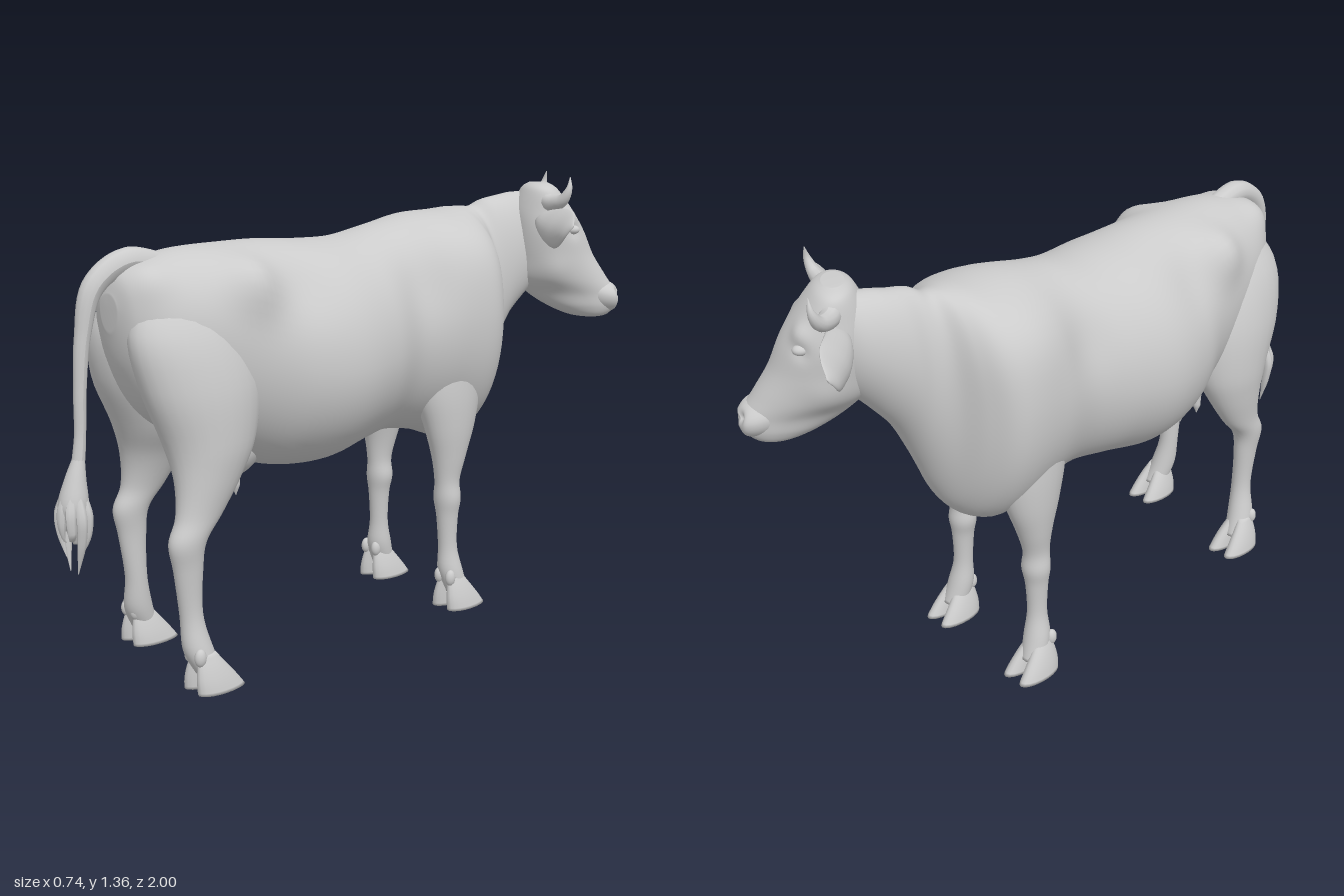
import * as THREE from 'three';

const MID = -0.055; // body centre line in x
const material = new THREE.MeshStandardMaterial({ color: 0xcccccc, side: THREE.DoubleSide });

function add(parent, name, geometry) {
  const mesh = new THREE.Mesh(geometry, material);
  mesh.name = name;
  parent.add(mesh);
  return mesh;
}

// Uniform Catmull-Rom through rows of numbers
function smoothRows(rows, sub) {
  const out = [];
  const at = i => rows[Math.min(rows.length - 1, Math.max(0, i))];
  for (let i = 0; i < rows.length - 1; i++) {
    for (let k = 0; k < sub; k++) {
      const t = k / sub, t2 = t * t, t3 = t2 * t;
      out.push(rows[i].map((_, c) => {
        const a = at(i - 1)[c], b = at(i)[c], d = at(i + 1)[c], e = at(i + 2)[c];
        return 0.5 * (2 * b + (d - a) * t + (2 * a - 5 * b + 4 * d - e) * t2 + (3 * b - a - 3 * d + e) * t3);
      }));
    }
  }
  out.push(rows[rows.length - 1]);
  return out;
}

// Skin over egg-shaped rings [x, y, z, halfWidth, up, down] stacked along an axis
const FRAMES = {
  z: [new THREE.Vector3(1, 0, 0), new THREE.Vector3(0, 1, 0)],
  y: [new THREE.Vector3(1, 0, 0), new THREE.Vector3(0, 0, 1)],
  x: [new THREE.Vector3(0, 0, 1), new THREE.Vector3(0, 1, 0)],
};
function loft(rows, axis, seg = 32, sub = 5) {
  const rings = smoothRows(rows, sub), [U, V] = FRAMES[axis];
  const pos = [], index = [], n = rings.length;
  const centre = r => new THREE.Vector3(r[0], r[1], r[2]);
  for (const r of rings) {
    for (let j = 0; j < seg; j++) {
      const t = j / seg * Math.PI * 2, s = Math.sin(t);
      const p = centre(r).addScaledVector(U, r[3] * Math.cos(t)).addScaledVector(V, s * (s > 0 ? r[4] : r[5]));
      pos.push(p.x, p.y, p.z);
    }
  }
  const first = centre(rings[0]), last = centre(rings[n - 1]);
  pos.push(...first.toArray(), ...last.toArray());
  const flip = new THREE.Vector3().crossVectors(U, V).dot(last.clone().sub(first)) < 0;
  const tri = (a, b, c) => flip ? index.push(a, c, b) : index.push(a, b, c);
  for (let j = 0; j < seg; j++) {
    const k = (j + 1) % seg, e = (n - 1) * seg;
    for (let i = 0; i < n - 1; i++) {
      const o = i * seg;
      tri(o + j, o + k, o + seg + j);
      tri(o + k, o + seg + k, o + seg + j);
    }
    tri(n * seg, k, j);
    tri(n * seg + 1, e + j, e + k);
  }
  const g = new THREE.BufferGeometry();
  g.setAttribute('position', new THREE.Float32BufferAttribute(pos, 3));
  g.setIndex(index);
  g.computeVertexNormals();
  return g;
}

// Soft swellings and hollows [dx, y, z, radius, height], mirrored about a centre line
function sculpt(g, mid, bumps) {
  const p = g.attributes.position, nor = g.attributes.normal;
  for (let i = 0; i < p.count; i++) {
    const x = p.getX(i), y = p.getY(i), z = p.getZ(i);
    let d = 0;
    for (const [bx, by, bz, r, h] of bumps) {
      d += h * Math.exp(-((Math.abs(x - mid) - bx) ** 2 + (y - by) ** 2 + (z - bz) ** 2) / (r * r));
    }
    p.setXYZ(i, x + nor.getX(i) * d, y + nor.getY(i) * d, z + nor.getZ(i) * d);
  }
  g.computeVertexNormals();
  return g;
}

// Round tube whose radius follows a list of values
function taper(points, radii, segments = 24, sides = 12) {
  const curve = new THREE.CatmullRomCurve3(points.map(p => new THREE.Vector3(...p)));
  const g = new THREE.TubeGeometry(curve, segments, 1, sides);
  const pos = g.attributes.position, v = new THREE.Vector3();
  for (let i = 0; i <= segments; i++) {
    const c = curve.getPointAt(i / segments), f = i / segments * (radii.length - 1);
    const k = Math.min(radii.length - 2, Math.floor(f));
    const r = THREE.MathUtils.lerp(radii[k], radii[k + 1], f - k);
    for (let j = 0; j <= sides; j++) {
      const id = i * (sides + 1) + j;
      v.fromBufferAttribute(pos, id).sub(c).multiplyScalar(r).add(c);
      pos.setXYZ(id, v.x, v.y, v.z);
    }
  }
  g.computeVertexNormals();
  return g;
}

function blob(parent, name, [x, y, z], [rx, ry, rz]) {
  const m = add(parent, name, new THREE.SphereGeometry(1, 24, 16));
  m.position.set(x, y, z);
  m.scale.set(rx, ry, rz);
}

// Cloven hoof with two claws and two dewclaws
function hoof(parent, x, z) {
  for (const s of [-1, 1]) {
    add(parent, 'hoofClaw', loft([
      [x + s * 0.033, 0, z - 0.01, 0.033, 0.07, 0.085],
      [x + s * 0.03, 0.035, z - 0.003, 0.029, 0.064, 0.066],
      [x + s * 0.024, 0.075, z + 0.005, 0.022, 0.05, 0.042],
      [x + s * 0.016, 0.11, z + 0.015, 0.014, 0.03, 0.025]], 'y', 20, 3));
    blob(parent, 'dewclaw', [x + s * 0.024, 0.105, z + 0.046], [0.015, 0.026, 0.018]);
  }
}

// Rings of the legs on the left; z shifts towards the foot to vary the stance
const HIND = [
  [-0.01, 1.14, 0.62, 0.06, 0.1, 0.08], [0.035, 1.0, 0.62, 0.11, 0.185, 0.15],
  [0.065, 0.85, 0.6, 0.125, 0.19, 0.175], [0.09, 0.7, 0.6, 0.108, 0.14, 0.145],
  [0.115, 0.6, 0.625, 0.075, 0.1, 0.11], [0.128, 0.5, 0.665, 0.05, 0.07, 0.075],
  [0.133, 0.43, 0.705, 0.043, 0.06, 0.055], [0.132, 0.35, 0.705, 0.034, 0.047, 0.042],
  [0.13, 0.22, 0.7, 0.031, 0.034, 0.034], [0.142, 0.12, 0.69, 0.04, 0.042, 0.045],
  [0.154, 0.05, 0.665, 0.04, 0.036, 0.045]];
const FORE = [
  [0.06, 1.0, -0.33, 0.06, 0.08, 0.08], [0.08, 0.86, -0.33, 0.095, 0.12, 0.12],
  [0.1, 0.72, -0.32, 0.09, 0.125, 0.12], [0.12, 0.6, -0.315, 0.068, 0.095, 0.09],
  [0.127, 0.5, -0.31, 0.05, 0.065, 0.055], [0.128, 0.42, -0.3, 0.038, 0.043, 0.042],
  [0.128, 0.36, -0.3, 0.044, 0.042, 0.045], [0.13, 0.3, -0.3, 0.034, 0.035, 0.036],
  [0.132, 0.2, -0.302, 0.03, 0.031, 0.031], [0.138, 0.12, -0.31, 0.04, 0.042, 0.04],
  [0.145, 0.05, -0.328, 0.04, 0.036, 0.042]];
function leg(parent, name, rows, side, mid, shift, hoofZ) {
  const group = new THREE.Group();
  group.name = name;
  const mirror = x => side > 0 ? x : 2 * mid - x;
  add(group, name + 'Limb', loft(rows.map(([x, y, z, ...r]) =>
    [mirror(x), y, z + shift * (1 - THREE.MathUtils.smoothstep(y, 0.45, 0.9)), ...r]), 'y', 28));
  hoof(group, mirror(rows[rows.length - 1][0]), hoofZ + shift);
  parent.add(group);
}

function buildHead() {
  const head = new THREE.Group();
  head.name = 'head';
  const skull = loft([
    [0, 1.335, -0.03, 0.05, 0.03, 0.03], [0, 1.315, -0.025, 0.096, 0.055, 0.06],
    [0, 1.25, -0.01, 0.115, 0.09, 0.105], [0, 1.18, 0.0, 0.126, 0.122, 0.12],
    [0, 1.1, 0.01, 0.118, 0.148, 0.128], [0, 1.03, 0.04, 0.104, 0.163, 0.15],
    [0, 0.975, 0.11, 0.08, 0.128, 0.17], [0, 0.93, 0.14, 0.07, 0.1, 0.13],
    [0, 0.9, 0.155, 0.052, 0.062, 0.075], [0, 0.89, 0.16, 0.02, 0.02, 0.02]], 'y', 56, 8);
  // brows, eye sockets, cheeks
  add(head, 'skull', sculpt(skull, 0, [
    [0.085, 1.225, 0.06, 0.03, 0.012], [0.11, 1.185, 0.07, 0.022, -0.008], [0.1, 1.06, 0.01, 0.05, 0.008]]));
  // broad nose pad with nostril hollows
  add(head, 'muzzle', sculpt(loft([
    [0, 0.99, 0.08, 0.03, 0.03, 0.04], [0, 0.98, 0.14, 0.066, 0.052, 0.06], [0, 0.967, 0.19, 0.074, 0.05, 0.06],
    [0, 0.96, 0.23, 0.064, 0.04, 0.05], [0, 0.96, 0.247, 0.03, 0.02, 0.025]], 'z', 40, 7), 0, [
    [0.038, 0.975, 0.24, 0.016, -0.014]]));
  for (const s of [-1, 1]) {
    add(head, 'horn', taper([[s * 0.05, 1.29, -0.03], [s * 0.11, 1.275, -0.01], [s * 0.155, 1.29, 0.015],
      [s * 0.17, 1.325, 0.03], [s * 0.16, 1.362, 0.035]], [0.034, 0.029, 0.023, 0.013, 0.001]));
    const ear = loft([
      [s * 0.08, 1.23, -0.04, 0.022, 0.02, 0.022], [s * 0.13, 1.225, -0.04, 0.026, 0.032, 0.036],
      [s * 0.2, 1.212, -0.035, 0.018, 0.054, 0.065], [s * 0.25, 1.21, -0.025, 0.013, 0.056, 0.062],
      [s * 0.305, 1.215, -0.012, 0.009, 0.038, 0.04], [s * 0.335, 1.22, 0, 0.003, 0.006, 0.006]], 'x', 24);
    // lean the ear forwards and cup it at its rims
    const p = ear.attributes.position;
    for (let i = 0; i < p.count; i++) {
      const dy = p.getY(i) - 1.215;
      p.setZ(i, p.getZ(i) + 0.45 * dy + 7 * dy * dy);
    }
    ear.computeVertexNormals();
    add(head, 'ear', ear);
    blob(head, 'eye', [s * 0.094, 1.188, 0.066], [0.018, 0.015, 0.022]);
  }
  // turned towards the animal's own side
  head.position.set(0.095, 0, -0.78);
  head.rotation.y = 2.52;
  return head;
}

export function createModel() {
  const cow = new THREE.Group();
  cow.name = 'cow';

  // trunk and neck in one skin, rump to poll
  const body = loft([
    [MID, 1.06, 0.815, 0.04, 0.04, 0.06], [MID, 1.03, 0.79, 0.1, 0.125, 0.14],
    [MID, 1.0, 0.72, 0.158, 0.185, 0.24], [MID, 0.97, 0.6, 0.202, 0.24, 0.3],
    [MID, 0.91, 0.43, 0.238, 0.305, 0.32], [MID, 0.86, 0.3, 0.285, 0.355, 0.315],
    [MID, 0.85, 0.15, 0.31, 0.355, 0.315], [MID, 0.87, 0, 0.285, 0.335, 0.305],
    [MID, 0.9, -0.14, 0.243, 0.33, 0.32], [MID + 0.005, 0.92, -0.28, 0.265, 0.335, 0.36],
    [MID + 0.01, 0.92, -0.4, 0.272, 0.34, 0.4], [MID + 0.01, 0.92, -0.465, 0.248, 0.345, 0.38],
    [-0.04, 0.93, -0.51, 0.19, 0.335, 0.345], [-0.025, 0.965, -0.545, 0.13, 0.3, 0.31],
    [-0.01, 1.02, -0.585, 0.11, 0.265, 0.265], [0, 1.08, -0.64, 0.107, 0.215, 0.21],
    [0.02, 1.12, -0.7, 0.105, 0.185, 0.17], [0.05, 1.16, -0.77, 0.095, 0.14, 0.13],
    [0.08, 1.18, -0.82, 0.06, 0.08, 0.08]], 'z', 64, 7);
  // hip bones, pin bones, flank hollows, shoulder blades, hollows behind them
  add(cow, 'bodyAndNeck', sculpt(body, MID, [
    [0.18, 1.12, 0.46, 0.085, 0.05], [0.09, 1.14, 0.74, 0.06, 0.02], [0.19, 1.08, 0.3, 0.1, -0.02],
    [0.17, 1.12, -0.37, 0.12, 0.025], [0.21, 1.05, -0.17, 0.1, -0.012]]));

  leg(cow, 'leftHindLeg', HIND, 1, MID, 0, 0.66);
  leg(cow, 'rightHindLeg', HIND, -1, MID - 0.003, -0.065, 0.66);
  leg(cow, 'leftForeLeg', FORE, 1, -0.045, 0, -0.325);
  leg(cow, 'rightForeLeg', FORE, -1, -0.045, -0.025, -0.325);

  // udder with four teats
  blob(cow, 'udder', [MID, 0.63, 0.46], [0.115, 0.105, 0.13]);
  for (const sx of [-1, 1]) for (const sz of [-1, 1]) {
    const x = MID + sx * 0.055, z = 0.49 + sz * 0.042;
    add(cow, 'teat', taper([[x, 0.57, z], [x + sx * 0.006, 0.525, z], [x + sx * 0.008, 0.487, z]],
      [0.024, 0.016, 0.013, 0.001], 12));
  }

  // tail, tuft and hair strands
  add(cow, 'tail', taper([[MID, 1.16, 0.62], [MID, 1.185, 0.76], [MID, 1.125, 0.86], [MID, 1.0, 0.897],
    [MID, 0.85, 0.912], [MID, 0.72, 0.918], [MID, 0.6, 0.935]], [0.035, 0.037, 0.031, 0.022, 0.018, 0.016, 0.02], 48));
  add(cow, 'tailTuft', loft([
    [MID, 0.68, 0.922, 0.014, 0.014, 0.014], [MID, 0.61, 0.938, 0.03, 0.03, 0.03],
    [MID, 0.54, 0.947, 0.042, 0.042, 0.042], [MID, 0.48, 0.945, 0.028, 0.028, 0.028],
    [MID, 0.43, 0.945, 0.006, 0.006, 0.006]], 'y', 20));
  for (let i = 0; i < 8; i++) {
    const a = i / 8 * Math.PI * 2, c = Math.cos(a), s = Math.sin(a), low = 0.35 + 0.045 * (i * 3 % 4);
    add(cow, 'tailStrand', taper([[MID + c * 0.02, 0.58, 0.945 + s * 0.02], [MID + c * 0.044, 0.51, 0.948 + s * 0.036],
      [MID + c * 0.04, 0.45, 0.948 + s * 0.032], [MID + c * 0.02, low, 0.952 + s * 0.02]],
      [0.012, 0.016, 0.012, 0.001], 14, 8));
  }

  cow.add(buildHead());
  return cow;
}
